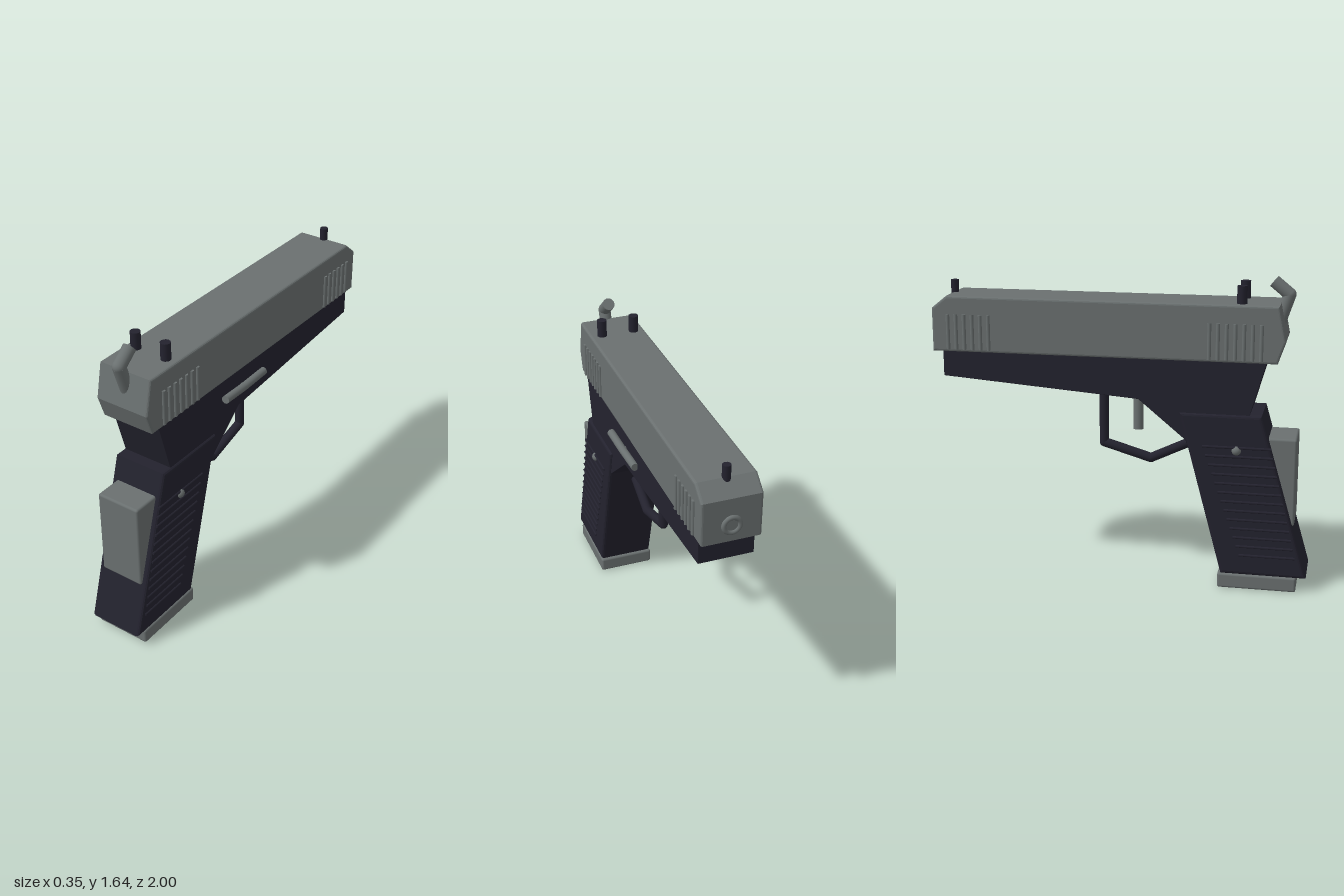
import * as THREE from 'three';
import { RoundedBoxGeometry } from 'three/addons/geometries/RoundedBoxGeometry.js';

const grey = new THREE.MeshStandardMaterial({ color: 0x6a7070 });
grey.name = 'steel grey';
const dark = new THREE.MeshStandardMaterial({ color: 0x23222e });
dark.name = 'dark polymer';
const CX = -0.0125; // centre plane of the body

export function createModel() {
  const model = new THREE.Group();
  model.name = 'pistol';

  const add = (name, geometry, material, x = 0, y = 0, z = 0, parent = model) => {
    const mesh = new THREE.Mesh(geometry, material);
    mesh.name = name;
    mesh.position.set(x, y, z);
    parent.add(mesh);
    return mesh;
  };

  // Side profile of [z, y] points, extruded across the width with bevelled edges
  const slab = (name, points, width, bevel, material) => {
    const shape = new THREE.Shape(points.map(([z, y]) => new THREE.Vector2(z, y)));
    const geometry = new THREE.ExtrudeGeometry(shape, {
      depth: width - 2 * bevel, bevelEnabled: true, bevelThickness: bevel,
      bevelSize: bevel, bevelOffset: -bevel, bevelSegments: 3,
    });
    geometry.translate(0, 0, -(width - 2 * bevel) / 2).rotateY(-Math.PI / 2);
    return add(name, geometry, material, CX);
  };

  // Round rod through a list of points, with ball joints at the bends
  const rod = (name, points, r, material, sides = 16) => {
    const group = new THREE.Group();
    group.name = name;
    const v = points.map((p) => new THREE.Vector3(...p));
    for (let i = 0; i + 1 < v.length; i++) {
      const dir = v[i + 1].clone().sub(v[i]);
      const mid = v[i].clone().add(v[i + 1]).multiplyScalar(0.5);
      const part = add(name + 'Bar', new THREE.CylinderGeometry(r, r, dir.length(), sides), material, mid.x, mid.y, mid.z, group);
      part.quaternion.setFromUnitVectors(new THREE.Vector3(0, 1, 0), dir.normalize());
      if (i > 0) add(name + 'Joint', new THREE.SphereGeometry(r, sides, 12), material, v[i].x, v[i].y, v[i].z, group);
    }
    model.add(group);
    return group;
  };

  // Main body
  slab('slide', [[0.818, 1.212], [-0.986, 1.212], [-0.986, 1.44], [-0.905, 1.505], [0.82, 1.505], [0.857, 1.325]], 0.302, 0.012, grey);
  slab('frame', [[0.765, 1.22], [0.66, 0.85], [0.4, 0.76], [0.355, 0.797], [0.11, 1.0], [-0.933, 1.08], [-0.933, 1.22]], 0.28, 0.003, dark);
  slab('grip', [[0.748, 0.942], [0.322, 0.942], [0.553, 0.078], [1.0, 0.078]], 0.302, 0.018, dark);
  add('basePlate', new RoundedBoxGeometry(0.305, 0.08, 0.412, 3, 0.012), grey, CX, 0.04, 0.743);
  add('backstrap', new RoundedBoxGeometry(0.244, 0.466, 0.25, 3, 0.012), grey, CX, 0.587, 0.803);

  // Muzzle ring and bore face
  add('muzzleRing', new THREE.TorusGeometry(0.04, 0.013, 12, 32), grey, CX, 1.3, -0.986);
  add('muzzleFace', new THREE.CylinderGeometry(0.04, 0.04, 0.008, 24).rotateX(Math.PI / 2), grey, CX, 1.3, -0.986);

  // Details repeated on both sides
  for (const side of [-1, 1]) {
    const serration = new THREE.CylinderGeometry(0.01, 0.01, 0.185, 10);
    for (let i = 0; i < 7; i++) add('rearSerration', serration, grey, CX + side * 0.152, 1.318, 0.735 - i * 0.0437);
    for (let i = 0; i < 6; i++) add('muzzleSerration', serration, grey, CX + side * 0.152, 1.318, -0.68 - i * 0.0437);

    for (let i = 0; i < 13; i++) {
      const y = 0.77 - i * 0.0485, x = CX + side * 0.151;
      rod('gripRib', [[x, y, 0.8 + i * 0.0117], [x, y, 0.447 + i * 0.0169]], 0.007, dark, 8);
    }
    const screw = add('gripScrew', new THREE.SphereGeometry(0.026, 20, 14), grey, CX + side * 0.142, 0.754, 0.623);
    screw.name = side > 0 ? 'leftGripScrew' : 'rightGripScrew';
  }

  // Trigger and its guard
  rod('trigger', [[CX, 1.03, 0.087], [CX, 0.805, 0.087]], 0.027, grey);
  rod('triggerGuard', [[CX, 0.741, 0.35], [CX, 0.648, 0.155], [CX, 0.722, -0.098], [CX, 1.04, -0.098]], 0.025, dark);

  // Hammer
  rod('hammer', [[CX, 1.37, 0.8], [CX, 1.545, 0.858], [CX, 1.61, 0.778]], 0.033, grey, 20);

  // Slide release on the left side, with its pin
  rod('slideRelease', [[0.152, 1.118, 0.262], [0.145, 1.107, 0.09], [0.14, 1.108, -0.095]], 0.021, grey);
  rod('slideReleasePin', [[0.1, 1.1, 0.09], [0.145, 1.104, 0.09]], 0.02, grey);

  // Sights
  for (const x of [-0.09, 0.088]) add('rearSight', new THREE.CylinderGeometry(0.026, 0.026, 0.115, 12), dark, CX + x, 1.538, 0.628);
  add('frontSight', new THREE.CylinderGeometry(0.021, 0.021, 0.1, 12), dark, CX, 1.52, -0.903);

  return model;
}
